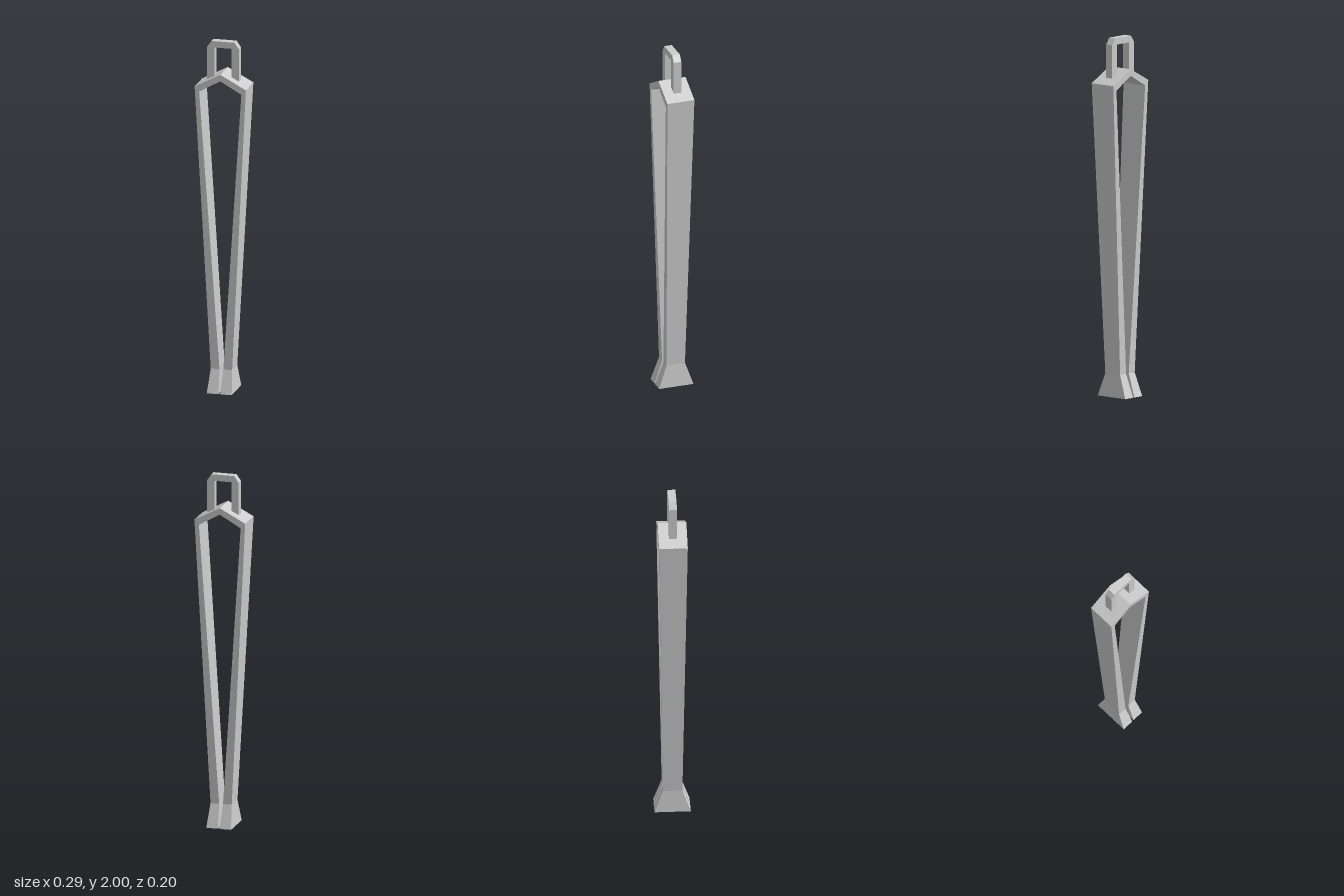
import * as THREE from 'three';

const material = new THREE.MeshStandardMaterial({ color: 0xcccccc, flatShading: true });

// Skins a chain of rectangular sections: outer point, inner point, half depth
function loft(name, sections, capStart, capEnd) {
  const rings = sections.map(([ox, oy, ix, iy, d]) =>
    [[ox, oy, d], [ox, oy, -d], [ix, iy, -d], [ix, iy, d]]);
  const pos = [];
  const quad = (a, b, c, d) => pos.push(...a, ...b, ...c, ...a, ...c, ...d);
  for (let s = 0; s < rings.length - 1; s++) {
    const a = rings[s], b = rings[s + 1];
    for (let i = 0; i < 4; i++) {
      const j = (i + 1) % 4;
      quad(a[i], a[j], b[j], b[i]);
    }
  }
  if (capStart) quad(...[...rings[0]].reverse());
  if (capEnd) quad(...rings[rings.length - 1]);
  const geo = new THREE.BufferGeometry();
  geo.setAttribute('position', new THREE.Float32BufferAttribute(pos, 3));
  geo.computeVertexNormals();
  const mesh = new THREE.Mesh(geo, material);
  mesh.name = name;
  return mesh;
}

export function createModel() {
  const group = new THREE.Group();
  group.name = 'tongs';

  const foot = [0.071, 0, 0.005, 0, 0.1];
  const ankle = [0.061, 0.13, 0.011, 0.13, 0.054];
  const shoulder = [0.146, 1.75, 0.12, 1.722, 0.079];
  const apex = [0, 1.827, 0, 1.79, 0.079];
  const mirror = ([ox, oy, ix, iy, d]) => [-ox, oy, -ix, iy, d];

  // Two tapering arms joined by a peaked top
  group.add(loft('arms', [ankle, shoulder, apex, mirror(shoulder), mirror(ankle)], false, false));

  // Flared gripping feet
  group.add(loft('leftFoot', [foot, ankle], true, false));
  group.add(loft('rightFoot', [mirror(ankle), mirror(foot)], false, true));

  // Hanging loop with chamfered corners, its ends sunk into the sloped top
  const half = [[0.09, 1.772], [0.09, 1.965], [0.066, 2]];
  const inner = [[0.049, 1.793], [0.049, 1.964]];
  const flip = (pts) => pts.map(([x, y]) => [-x, y]).reverse();
  const outline = [...half, ...flip(half), ...flip(inner).reverse(), ...[...inner].reverse()];
  const shape = new THREE.Shape(outline.map(([x, y]) => new THREE.Vector2(x, y)));
  const geo = new THREE.ExtrudeGeometry(shape, { depth: 0.044, bevelEnabled: false });
  geo.translate(0, 0, -0.022);
  const loop = new THREE.Mesh(geo, material);
  loop.name = 'hangingLoop';
  group.add(loop);

  return group;
}
